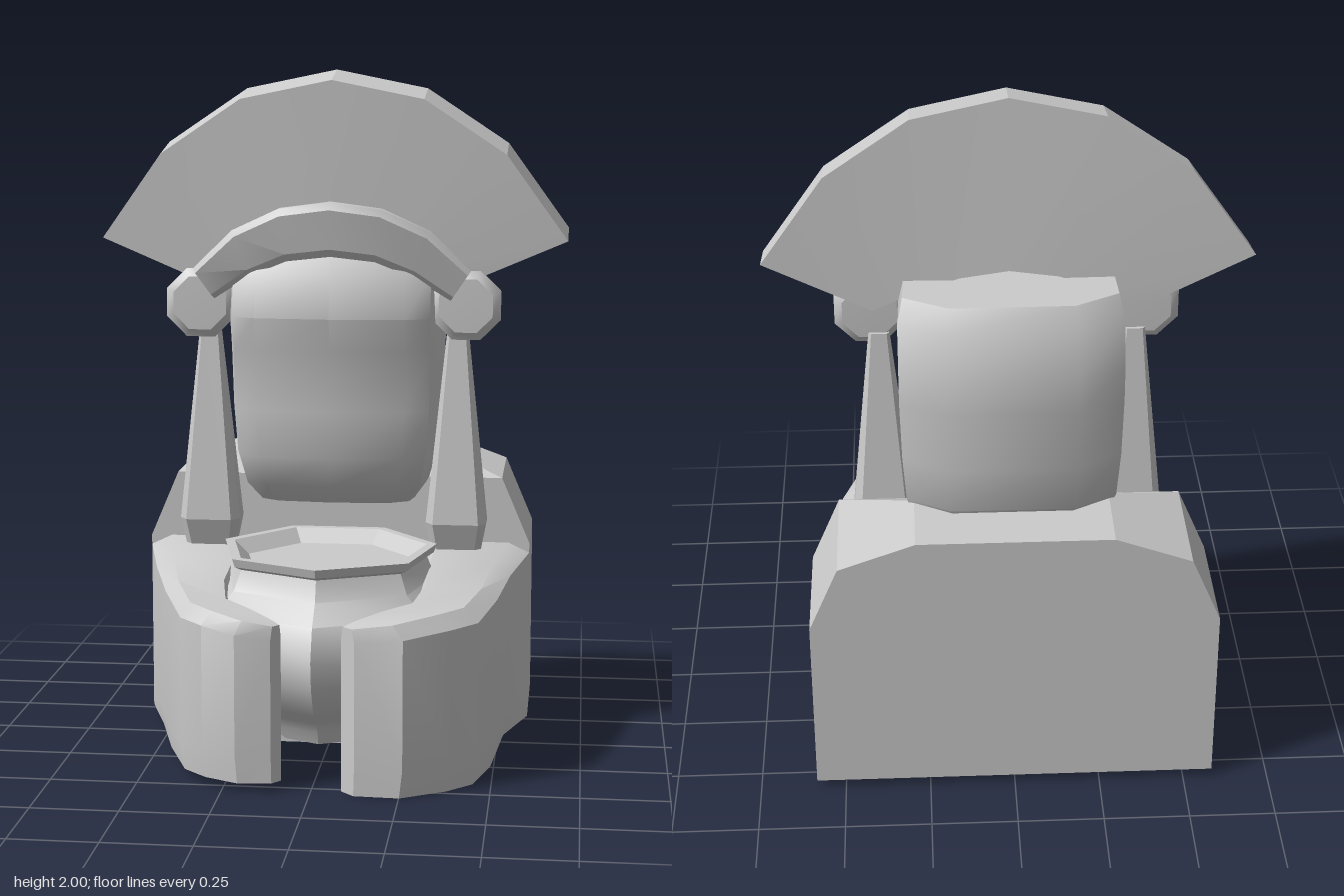
import * as THREE from 'three';
import { toCreasedNormals } from 'three/addons/utils/BufferGeometryUtils.js';

const material = new THREE.MeshStandardMaterial({ color: 0xcccccc });

// Closed solid through rings of equal point count, capped at both ends, wound outward.
function loft(rings, crease = 0.6) {
  const tris = [];
  const n = rings[0].length;
  for (let i = 0; i < rings.length - 1; i++) {
    for (let j = 0; j < n; j++) {
      const k = (j + 1) % n;
      const [a, b, c, d] = [rings[i][j], rings[i][k], rings[i + 1][k], rings[i + 1][j]];
      tris.push([a, b, c], [a, c, d]);
    }
  }
  const cap = (ring, flip) => {
    const mid = [0, 1, 2].map(q => ring.reduce((s, p) => s + p[q], 0) / n);
    ring.forEach((p, j) => {
      const next = ring[(j + 1) % n];
      tris.push(flip ? [mid, next, p] : [mid, p, next]);
    });
  };
  cap(rings[0], true);
  cap(rings[rings.length - 1], false);
  const v = p => new THREE.Vector3(...p);
  const volume = tris.reduce((s, [a, b, c]) => s + v(a).dot(v(b).cross(v(c))), 0);
  if (volume < 0) tris.forEach(t => t.reverse());
  const geometry = new THREE.BufferGeometry();
  geometry.setAttribute('position', new THREE.Float32BufferAttribute(tris.flat(2), 3));
  geometry.computeVertexNormals();
  return toCreasedNormals(geometry, crease);
}

function lathe(profile, sides, crease) {
  const points = profile.map(([r, y]) => new THREE.Vector2(r, y));
  return toCreasedNormals(new THREE.LatheGeometry(points, sides), crease);
}

// Mirrors a half outline given from the middle outward to +x.
const mirrorHalf = half => [
  ...half.slice().reverse().filter(p => p[0] > 0).map(([x, ...rest]) => [-x, ...rest]),
  ...half,
];

export function createModel() {
  const group = new THREE.Group();
  const add = (name, geometry) => {
    const mesh = new THREE.Mesh(geometry, material);
    mesh.name = name;
    group.add(mesh);
    return mesh;
  };

  // Back block with sloping shoulders; its top falls away toward the front
  const blockRing = (topZ, z, top) => mirrorHalf([
    [0.28, top, topZ], [0.5, 0.77, z], [0.585, 0.57, z], [0.585, 0.025, z],
  ]);
  add('backBlock', loft([
    blockRing(-0.57, -0.57, 0.85), blockRing(-0.34, -0.205, 0.85), blockRing(-0.2, -0.2, 0.77),
  ], 0.2));

  // Arms curling round to the front: outer x, z, inner x, z, top height, extra x and z on the left
  const stations = [
    [0.585, -0.26, 0.27, -0.26, 0.57, 0, 0],
    [0.585, -0.2, 0.27, -0.2, 0.57, 0, 0],
    [0.53, 0.01, 0.27, 0, 0.545, 0.005, 0],
    [0.46, 0.24, 0.275, 0.2, 0.525, 0.045, 0],
    [0.38, 0.445, 0.25, 0.36, 0.51, 0.08, -0.03],
    [0.31, 0.51, 0.17, 0.45, 0.505, 0.08, -0.025],
    [0.21, 0.557, 0.11, 0.5, 0.49, 0.05, 0.005],
    [0.11, 0.545, 0.085, 0.515, 0.475, 0.015, 0.01],
  ];
  for (const side of [1, -1]) {
    const rings = stations.map(([x, z, ix, iz, top, dx, dz]) => {
      const left = side > 0;
      const ox = x + (left ? dx : 0);
      const oz = z + (left ? dz : 0);
      const base = left && oz > 0.1 ? 0 : 0.025;
      const bevel = oz > 0.4 ? 0.04 : 0.03;
      const at = (t, y) => [side * (ox + (ix - ox) * t), y, oz + (iz - oz) * t];
      return [
        at(oz > 0 ? 0.06 : 0, base), at(0, base + 0.08), at(0, top - bevel), at(0.2, top),
        at(0.9, top), at(1, top - 0.03), at(1.02, 0.3), at(1, base),
      ];
    });
    add(side > 0 ? 'leftArm' : 'rightArm', loft(rings, 0.55));
  }

  // Recessed floor under the bowl
  add('floor', new THREE.BoxGeometry(0.56, 0.07, 0.54)).position.set(0, 0.105, 0.02);

  // Seven-sided bowl held between the arms
  const bowl = add('bowl', lathe([
    [0, 0.08], [0.24, 0.08], [0.26, 0.12], [0.28, 0.15], [0.36, 0.2], [0.415, 0.29],
    [0.43, 0.37], [0.39, 0.46], [0.32, 0.515], [0.295, 0.575], [0.316, 0.585],
    [0.325, 0.61], [0.295, 0.61], [0.25, 0.57], [0, 0.57],
  ], 7, 0.6));
  bowl.position.z = 0.1;

  // Head: half width, front z, back z, height
  const headLevels = [
    [0.24, -0.06, -0.3, 0.71],
    [0.28, 0.0, -0.36, 0.77],
    [0.3, 0.035, -0.42, 0.86],
    [0.31, 0.045, -0.43, 1.0],
    [0.315, 0.05, -0.43, 1.18],
    [0.315, 0.085, -0.43, 1.28],
    [0.315, 0.05, -0.39, 1.41],
    [0.3, 0.01, -0.355, 1.475],
  ];
  add('head', loft(headLevels.map(([w, front, back, y]) =>
    mirrorHalf([
      [0, front], [w * 0.7, front - 0.015], [w * 0.93, front - 0.05], [w * 0.98, front - 0.12],
      [w, back + 0.07], [w * 0.58, back],
    ]).map(([x, z]) => [x, y, z])), 0.6));

  // Fan crest: outer x, y, inner x, y, setback
  const crestHalf = [
    [0, 2, 0, 1.5, 0], [0.27, 1.945, 0.14, 1.48, 0.008],
    [0.51, 1.785, 0.28, 1.43, 0.022], [0.69, 1.535, 0.385, 1.385, 0.04],
  ];
  add('crest', loft(mirrorHalf(crestHalf).map(([ox, oy, ix, iy, set]) => {
    const s = Math.sign(ox);
    return [
      [ox, oy - 0.03, 0.005 - set], [ox, oy, -0.145 - set],
      [s * Math.abs(ix), iy, -0.185], [s * Math.abs(ix), iy - 0.01, -0.015 - set / 2],
    ];
  }), 0.15));

  // Brow band: top x, y, bottom x, y, front z
  const bandHalf = [
    [0, 1.62, 0, 1.46, 0.085], [0.15, 1.6, 0.13, 1.445, 0.078],
    [0.29, 1.535, 0.24, 1.4, 0.058], [0.41, 1.42, 0.35, 1.33, 0.034],
  ];
  add('browBand', loft(mirrorHalf(bandHalf).map(([tx, ty, bx, by, z]) => {
    const s = Math.sign(tx);
    const at = (t, depth) => [
      tx + (s * Math.abs(bx) - tx) * t, ty + (by - ty) * t, z - depth - 0.025 * t,
    ];
    return [at(0, 0.015), at(0.14, 0), at(0.86, 0), at(1, 0.015), at(1, 0.07), at(0, 0.06)];
  }), 0.5));

  for (const side of [1, -1]) {
    const label = side > 0 ? 'left' : 'right';
    // Thin ear knob behind the end of the band
    const knob = add(label + 'EarKnob', lathe(
      [[0, -0.03], [0.085, -0.028], [0.11, -0.01], [0.11, 0.01], [0.085, 0.028], [0, 0.03]], 8, 0.6));
    knob.rotation.set(Math.PI / 2, Math.PI / 8, 0);
    knob.position.set(side * 0.395, 1.315, -0.035);

    // Hanging tassel, widening downward
    const levels = [[0.075, 0.045, 0.585], [0.09, 0.073, 0.665], [0.03, 0.018, 1.25]];
    add(label + 'Tassel', loft(levels.map(([w, d, y]) =>
      [[1, -0.5], [1, 0.5], [0.75, 1], [-0.75, 1], [-1, 0.5], [-1, -0.5], [-0.75, -1], [0.75, -1]]
        .map(([x, z]) => [side * 0.37 + x * w, y, -0.055 + z * d])), 0.3));
  }

  return group;
}
